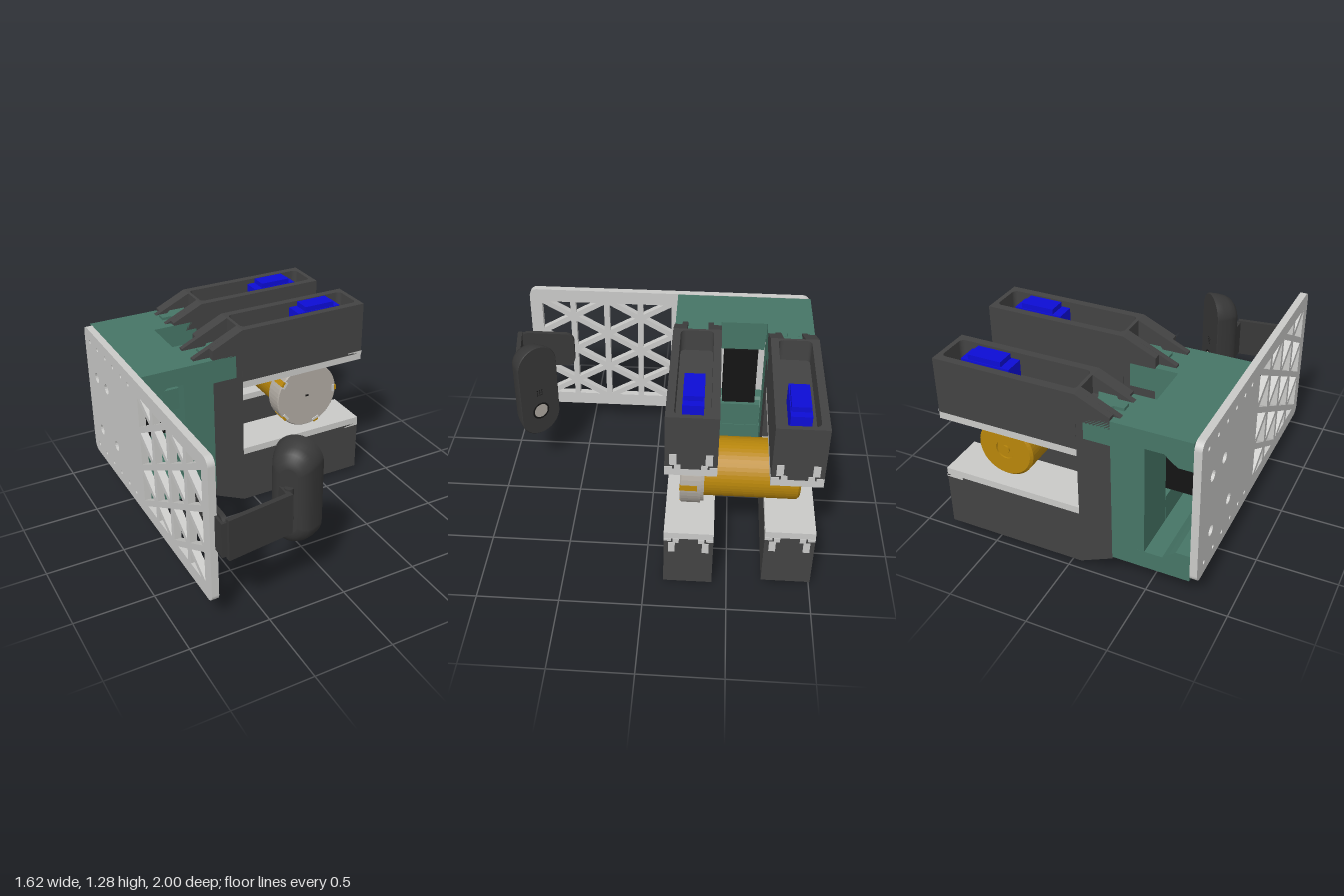
import * as THREE from 'three';

const mat = (name, color, side = THREE.FrontSide) => {
  const m = new THREE.MeshStandardMaterial({ color, side });
  m.name = name;
  return m;
};

export function createModel() {
  const root = new THREE.Group();
  root.name = 'doubleGripper';
  const dark = mat('charcoal', 0x434343), cam = mat('cameraGrey', 0x383838);
  const green = mat('green', 0x467566), pale = mat('paleGrey', 0xcacac8);
  const blue = mat('blue', 0x0d0dd6), gold = mat('gold', 0xb8860b);
  const stone = mat('warmGrey', 0xb0aaa2), black = mat('black', 0x141414);

  const add = (parent, name, geo, m) => {
    const mesh = new THREE.Mesh(geo, m);
    mesh.name = name;
    parent.add(mesh);
    return mesh;
  };
  // box given by its limits on each axis
  const box = (parent, name, m, x0, x1, y0, y1, z0, z1) => {
    const mesh = add(parent, name, new THREE.BoxGeometry(x1 - x0, y1 - y0, z1 - z0), m);
    mesh.position.set((x0 + x1) / 2, (y0 + y1) / 2, (z0 + z1) / 2);
    return mesh;
  };
  const shapeOf = pts => new THREE.Shape(pts.map(p => new THREE.Vector2(p[0], p[1])));
  const extrude = (shape, depth, curveSegments = 8) =>
    new THREE.ExtrudeGeometry(shape, { depth, bevelEnabled: false, curveSegments });
  // xy profile extruded between two z values
  const prism = (parent, name, m, pts, z0, z1) => {
    const mesh = add(parent, name, extrude(shapeOf(pts), z1 - z0), m);
    mesh.position.z = z0;
    return mesh;
  };
  const roundRect = (S, x0, x1, y0, y1, r) => {
    const s = new S();
    s.moveTo(x0 + r, y0);
    s.absarc(x1 - r, y0 + r, r, -Math.PI / 2, 0);
    s.absarc(x1 - r, y1 - r, r, 0, Math.PI / 2);
    s.absarc(x0 + r, y1 - r, r, Math.PI / 2, Math.PI);
    s.absarc(x0 + r, y0 + r, r, Math.PI, Math.PI * 1.5);
    return s;
  };

  // --- side plate with triangular lattice and screw holes (drawn in z, y)
  const plate = roundRect(THREE.Shape, -1, 0.9, 0.17, 1.115, 0.05);
  const strut = 0.019, step = 0.8 / 3, colW = 0.232;
  const triHole = tri => {
    const [a, b, c] = tri;
    const la = b.distanceTo(c), lb = a.distanceTo(c), lc = a.distanceTo(b), per = la + lb + lc;
    const mid = new THREE.Vector2()
      .addScaledVector(a, la / per).addScaledVector(b, lb / per).addScaledVector(c, lc / per);
    const area = Math.abs((b.x - a.x) * (c.y - a.y) - (c.x - a.x) * (b.y - a.y)) / 2;
    const k = 1 - strut / (2 * area / per);
    plate.holes.push(new THREE.Path(tri.map(p => p.clone().sub(mid).multiplyScalar(k).add(mid))));
  };
  for (let i = 0; i < 4; i++) {
    const zi = -0.09 + i * colW, even = i % 2 === 0;
    const zA = even ? zi : zi + colW, zB = even ? zi + colW : zi;
    const P = (z, k) => new THREE.Vector2(z, 0.243 + k * step);
    const strip = [P(zB, 0), P(zA, 0), P(zB, 0.5), P(zA, 1), P(zB, 1.5), P(zA, 2), P(zB, 2.5), P(zA, 3), P(zB, 3)];
    for (let j = 0; j < 7; j++) triHole(strip.slice(j, j + 3));
  }
  const drill = (z, y, r) => {
    const h = new THREE.Path();
    h.absarc(z, y, r, 0, Math.PI * 2);
    plate.holes.push(h);
  };
  [[-0.82, 0.8], [-0.64, 0.8], [-0.81, 0.41], [-0.53, 0.43]].forEach(([z, y]) => drill(z, y, 0.035));
  for (const z of [-0.9, -0.76, -0.62, -0.48, -0.34, -0.22]) for (const y of [0.25, 1.03]) drill(z, y, 0.014);
  const plateMesh = add(root, 'sidePlate', extrude(plate, 0.045), pale);
  plateMesh.rotation.y = -Math.PI / 2;
  plateMesh.position.x = -0.765;

  // --- green frame: top and bottom rails, posts and webs
  const railPts = [[-0.765, 0.47], [-0.43, 0.47], [-0.43, 0.355], [-0.6, 0.355], [-0.64, 0.32], [-0.68, 0.29], [-0.765, 0.29]];
  const mid = 0.6425;
  const rail = railPts.map(([x, d]) => [x, mid + d]);
  prism(root, 'topRail', green, rail, -1, -0.115);
  prism(root, 'bottomRail', green, rail.map(([x, y]) => [x, 2 * mid - y]), -1, -0.115);
  box(root, 'lowerWeb', green, -0.49, -0.435, 0.28, 0.46, -0.7, -0.41);
  box(root, 'upperWeb', green, -0.49, -0.435, 0.91, 1.0, -0.7, -0.41);
  box(root, 'motorBracket', green, -0.6, -0.48, 0.79, 0.935, -0.41, -0.2);
  box(root, 'lowerBracket', green, -0.52, -0.48, 0.42, 0.5, -0.41, -0.2);

  // --- drive motor between the grippers
  box(root, 'motor', black, -0.66, -0.42, 0.49, 0.91, -0.66, -0.44);
  for (const [x, r, l] of [[-0.72, 0.066, 0.07], [-0.64, 0.055, 0.09]]) {
    const k = add(root, 'motorKnob', new THREE.CylinderGeometry(r, r, l, 20), black);
    k.rotation.z = Math.PI / 2;
    k.position.set(x, 0.845, -0.5);
  }

  // --- one finger, pad face at y = 0, body rising to y = 0.4
  const makeFinger = name => {
    const g = new THREE.Group(), h = 0.147;
    g.name = name;
    box(g, 'gripPad', pale, -0.085, 0.805, 0, 0.045, -h, h);
    box(g, 'fingerBody', dark, -0.085, 0.805, 0.045, 0.26, -h, h);
    const wall = shapeOf([[-0.085, -h], [0.805, -h], [0.805, h], [-0.085, h]]);
    wall.holes.push(roundRect(THREE.Path, -0.065, 0.775, -0.1, 0.1, 0.03));
    const tray = add(g, 'fingerTray', extrude(wall, 0.14), dark);
    tray.rotation.x = -Math.PI / 2;
    tray.position.y = 0.26;
    // sensor unit in the tray
    box(g, 'sensorBody', blue, 0.365, 0.675, 0.26, 0.385, -0.06, 0.06);
    box(g, 'sensorCover', blue, 0.42, 0.63, 0.385, 0.417, -0.055, 0.055);
    for (const s of [-1, 1]) {
      // pad key ends, showing on the finger tip
      const a = s * 0.075;
      box(g, 'padKey', pale, 0.7, 0.809, 0.045, 0.075, a - 0.018, a + 0.018);
      box(g, 'padKeyHead', pale, 0.7, 0.809, 0.075, 0.15, s * 0.1 - 0.02, s * 0.1 + 0.02);
      box(g, 'padLip', pale, 0.7, 0.809, 0.045, 0.062, s * 0.125 - 0.022, s * 0.125 + 0.022);
      // sloped tail that hooks onto the frame
      const z = (a0, b0) => s > 0 ? [a0, b0] : [-b0, -a0];
      prism(g, 'tailHook', dark, [[-0.4, 0.235], [-0.085, 0.235], [-0.085, 0.4], [-0.4, 0.255]], ...z(0.065, 0.1));
      prism(g, 'tailSide', dark, [[-0.29, 0.235], [-0.085, 0.235], [-0.085, 0.4], [-0.29, 0.305]], ...z(0.1, h));
    }
    root.add(g);
    return g;
  };

  // --- two grippers, the rear one closed a little further
  for (const [label, zc, gap] of [['front', -0.2625, 0.225], ['rear', -0.8525, 0.18]]) {
    const z0 = zc - 0.147, z1 = zc + 0.147;
    makeFinger(label + 'UpperFinger').position.set(0, 0.645 + gap, zc);
    const low = makeFinger(label + 'LowerFinger');
    low.rotation.x = Math.PI;
    low.position.set(0, 0.645 - gap, zc);
    box(root, label + 'Post', green, -0.49, -0.29, 0.1725, 1.1125, z0, z1);
    box(root, label + 'Column', dark, -0.29, -0.085, 0.172, 0.955, z0, z1);
    box(root, label + 'UpperJoint', green, -0.29, -0.13, 0.955, 1.112, z0, z1);
    box(root, label + 'JointCover', dark, -0.13, -0.086, 0.955, 1.112, z0, z1);
    // dovetail keys above and below
    const key = shapeOf([[-0.32, -0.03], [-0.26, -0.03], [-0.23, -0.065], [-0.12, -0.065], [-0.15, 0],
      [-0.12, 0.065], [-0.23, 0.065], [-0.26, 0.03], [-0.32, 0.03]]);
    for (const y of [0.155, 1.1]) {
      const k = add(root, label + 'DovetailKey', extrude(key, 0.03), green);
      k.rotation.x = -Math.PI / 2;
      k.position.set(0, y, zc);
    }
  }

  // --- held workpiece: gold cylinder with a grey cap
  const part = new THREE.Group();
  part.name = 'workpiece';
  part.position.set(0.442, 0.645, 0);
  root.add(part);
  const lathe = (name, m, pts) => {
    const g = new THREE.LatheGeometry(pts.map(p => new THREE.Vector2(p[0], p[1])), 48);
    const geo = g.toNonIndexed();
    geo.computeVertexNormals();
    const mesh = add(part, name, geo, m);
    mesh.rotation.x = Math.PI / 2;
  };
  lathe('cylinder', gold, [[0, -0.905], [0.025, -0.905], [0.025, -0.895], [0.06, -0.895], [0.06, -0.905],
    [0.165, -0.905], [0.18, -0.89], [0.18, -0.33]]);
  lathe('cap', stone, [[0.18, -0.34], [0.215, -0.34], [0.215, -0.32], [0.226, -0.32], [0.226, -0.207], [0.219, -0.2], [0, -0.2]]);
  box(part, 'capMark', black, -0.012, 0.012, -0.006, 0.006, -0.2, -0.197);
  for (let i = 0; i < 5; i++) {
    const arm = new THREE.Group();
    arm.name = 'capClip';
    arm.rotation.z = (2 + i * 72) * Math.PI / 180;
    box(arm, 'clipTab', gold, 0.2, 0.229, -0.018, 0.018, -0.3, -0.197);
    box(arm, 'clipFace', pale, 0.197, 0.213, -0.026, 0.026, -0.23, -0.194);
    part.add(arm);
  }

  // --- camera mount, arm and hinge
  const mountGeo = extrude(roundRect(THREE.Shape, 0.61, 0.985, 0.52, 0.78, 0.06), 0.03);
  const mount = add(root, 'cameraMount', mountGeo, cam);
  mount.rotation.y = -Math.PI / 2;
  mount.position.x = -0.735;
  box(root, 'mountCorner', cam, -0.78, -0.735, 0.54, 0.76, 0.9, 0.985);
  const arm = add(root, 'cameraArm', new THREE.BoxGeometry(0.42, 0.26, 0.03), cam);
  arm.position.set(-0.54, 0.65, 0.962);
  arm.rotation.y = 0.13;
  const link = add(root, 'hingeLink', new THREE.BoxGeometry(0.025, 0.24, 0.12), cam);
  link.position.set(-0.34, 0.65, 0.89);
  const hinge = add(root, 'hinge', new THREE.CylinderGeometry(0.026, 0.026, 0.26, 16), cam);
  hinge.position.set(-0.315, 0.65, 0.88);

  // --- camera body: capsule outlines lofted from the flat face to the rounded back
  const head = new THREE.Group();
  head.name = 'camera';
  head.position.set(-0.185, 0.68, 0.765);
  head.rotation.y = 2.282;
  root.add(head);
  const rings = [[-0.17, 0.05], [-0.165, 0.078], [-0.137, 0.108], [-0.1, 0.125], [-0.05, 0.138], [-0.006, 0.145], [0, 0.14]];
  const N = 40, pos = [], idx = [];
  for (const [z, r] of rings) for (let j = 0; j < N; j++) {
    const t = (j + 0.5) / N * Math.PI * 2;
    pos.push(r * Math.cos(t), r * Math.sin(t) + Math.sign(Math.sin(t)) * (0.195 - (0.145 - r) * 0.35), z);
  }
  for (let i = 0; i < rings.length - 1; i++) for (let j = 0; j < N; j++) {
    const a = i * N + j, b = i * N + (j + 1) % N;
    idx.push(a, b, b + N, a, b + N, a + N);
  }
  const shell = new THREE.BufferGeometry();
  shell.setAttribute('position', new THREE.Float32BufferAttribute(pos, 3));
  shell.setIndex(idx);
  shell.computeVertexNormals();
  add(head, 'cameraShell', shell, cam);
  const capsule = (r, half) => {
    const s = new THREE.Shape();
    s.absarc(0, half, r, 0, Math.PI);
    s.absarc(0, -half, r, Math.PI, Math.PI * 2);
    return new THREE.ShapeGeometry(s, 20);
  };
  add(head, 'cameraFace', capsule(0.14, 0.194), cam);
  const back = add(head, 'cameraBack', capsule(0.05, 0.162), cam);
  back.rotation.y = Math.PI;
  back.position.z = -0.17;
  add(head, 'lensRing', new THREE.RingGeometry(0.05, 0.062, 28), black).position.set(0, -0.155, 0.003);
  add(head, 'lens', new THREE.CircleGeometry(0.05, 28), stone).position.set(0, -0.155, 0.003);
  for (let i = 0; i < 9; i++) {
    add(head, 'microphoneHole', new THREE.CircleGeometry(0.005, 8), black)
      .position.set((i % 3 - 1) * 0.017, (Math.floor(i / 3) - 1) * 0.017 - 0.01, 0.003);
  }
  return root;
}
